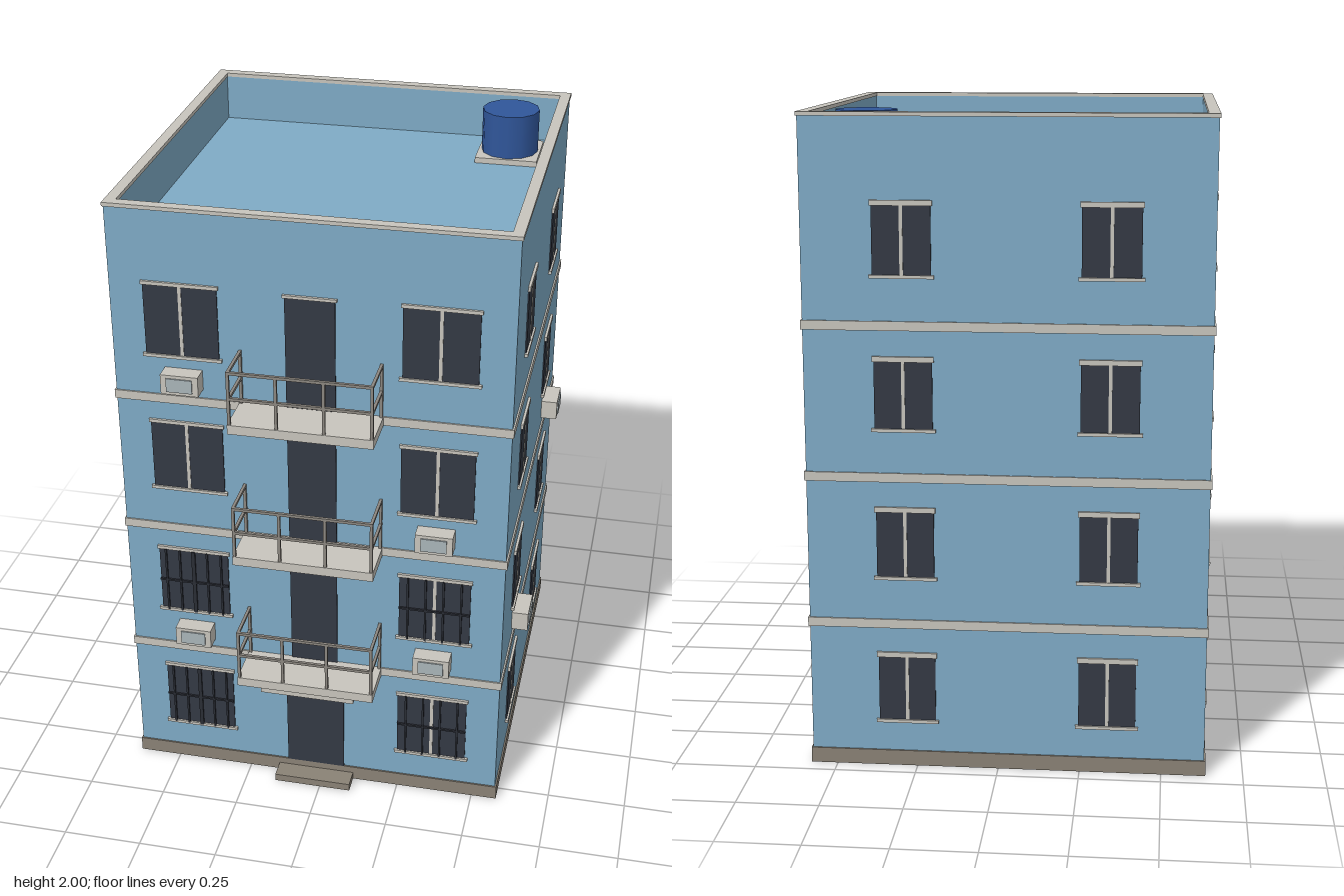
import * as THREE from 'three';

const mat = (name, color) => {
  const m = new THREE.MeshStandardMaterial({ color });
  m.name = name;
  return m;
};

export function createModel() {
  const wall = mat('blue wall', 0x7fabc6);
  const trim = mat('pale trim', 0xc8c5bd);
  const stone = mat('plinth stone', 0x8a8276);
  const glass = mat('dark glass', 0x343944);
  const bars = mat('grille iron', 0x2a2d35);
  const rail = mat('railing metal', 0x8c8780);
  const grilleGrey = mat('unit grille', 0xaab5b9);
  const tankBlue = mat('tank blue', 0x30569a);

  const model = new THREE.Group();
  model.name = 'apartmentBlock';

  // box given by its min and max corners
  const box = (parent, name, m, x0, x1, y0, y1, z0, z1) => {
    const mesh = new THREE.Mesh(new THREE.BoxGeometry(x1 - x0, y1 - y0, z1 - z0), m);
    mesh.position.set((x0 + x1) / 2, (y0 + y1) / 2, (z0 + z1) / 2);
    mesh.name = name;
    parent.add(mesh);
    return mesh;
  };

  const W = 0.604, D = 0.62;           // half width and depth of the walls
  const STOREY = 0.46, ROOF = 1.84;
  const building = new THREE.Group();
  building.name = 'building';
  building.position.set(-0.027, 0, -0.072);
  model.add(building);

  // main block, plinth and floor bands
  box(building, 'walls', wall, -W, W, 0.03, ROOF, -D, D);
  box(building, 'plinth', stone, -W - 0.005, W + 0.005, 0, 0.048, -D - 0.005, D + 0.005);
  for (let f = 1; f < 4; f++) {
    const y = f * STOREY;
    box(building, 'floorBand', trim, -W - 0.005, W + 0.005, y - 0.014, y + 0.014, -D - 0.005, D + 0.005);
  }

  // square ring for the parapet and its coping
  const ring = (name, m, w, d, t, y0, y1) => {
    const rect = (P, a, b) => new P([[-a, -b], [a, -b], [a, b], [-a, b]].map(p => new THREE.Vector2(...p)));
    const s = rect(THREE.Shape, w, d);
    s.holes.push(rect(THREE.Path, w - t, d - t));
    const g = new THREE.ExtrudeGeometry(s, { depth: y1 - y0, bevelEnabled: false });
    g.rotateX(-Math.PI / 2);
    const mesh = new THREE.Mesh(g, m);
    mesh.position.y = y0;
    mesh.name = name;
    building.add(mesh);
  };
  ring('parapet', wall, W, D, 0.028, ROOF, 1.99);
  ring('coping', trim, W + 0.004, D + 0.004, 0.034, 1.988, 2);

  // one group per facade: local x runs along the wall, z points outwards
  const facade = (name, angle, dist) => {
    const g = new THREE.Group();
    g.name = name;
    g.rotation.y = angle;
    g.position.set(Math.sin(angle) * dist, 0, Math.cos(angle) * dist);
    building.add(g);
    return g;
  };
  const front = facade('frontFacade', 0, D);
  const right = facade('plusXFacade', Math.PI / 2, W);
  const back = facade('backFacade', Math.PI, D);
  const left = facade('minusXFacade', -Math.PI / 2, W);

  const addWindow = (parent, u, y, w, h, lintel) => {
    const g = new THREE.Group();
    g.name = 'window';
    g.position.set(u, y, 0);
    parent.add(g);
    box(g, 'glass', glass, -w / 2, w / 2, 0, h, -0.003, 0.004);
    box(g, 'mullion', trim, -0.005, 0.005, 0, h, 0, 0.006);
    box(g, 'sill', trim, -w / 2 - 0.009, w / 2 + 0.009, -0.006, 0.004, 0, 0.01);
    box(g, 'lintel', trim, -w / 2 - 0.005, w / 2 + 0.005, h - 0.002, h + lintel, 0, 0.008);
    return g;
  };

  // iron grille of n uprights and a middle bar
  const addGrille = (g, w, h, n) => {
    for (let i = 0; i < n; i++) {
      const x = -w / 2 + (w * (i + 0.5)) / n;
      box(g, 'grilleUpright', bars, x - 0.003, x + 0.003, 0, h, 0.006, 0.012);
    }
    box(g, 'grilleBar', bars, -w / 2, w / 2, h / 2 - 0.003, h / 2 + 0.003, 0.006, 0.012);
  };

  const addAirUnit = (parent, u, floor) => {
    const g = new THREE.Group();
    g.name = 'airConditioner';
    g.position.set(u, floor * STOREY + 0.075, 0);
    parent.add(g);
    box(g, 'casing', trim, -0.058, 0.058, -0.032, 0.032, 0, 0.053);
    box(g, 'ventPanel', grilleGrey, -0.04, 0.04, -0.022, 0.022, 0.05, 0.057);
  };

  // windows on every storey
  for (let f = 0; f < 4; f++) {
    const y = f * STOREY + 0.147;
    for (const s of [-1, 1]) {
      const win = addWindow(front, s * 0.388, y, 0.225, 0.23, 0.009);
      if (f < 2) {
        addGrille(win, 0.225, 0.23, s < 0 ? 5 : 4);
        if (s < 0) box(win, 'grilleCentre', bars, -0.006, 0.006, 0, 0.23, 0.006, 0.012);
      }
      for (const side of [right, back, left]) addWindow(side, s * 0.306, y, 0.174, 0.208, 0.014);
    }
  }

  // air conditioners
  [[-1, 3], [1, 2], [-1, 1], [1, 1]].forEach(([s, f]) => addAirUnit(front, s * 0.388, f));
  addAirUnit(right, 0.306, 2);
  addAirUnit(right, -0.306, 1);

  // entrance with canopy and step
  const entrance = new THREE.Group();
  entrance.name = 'entrance';
  entrance.position.x = 0.002;
  front.add(entrance);
  box(entrance, 'frontDoor', glass, -0.095, 0.095, 0.048, 0.374, -0.003, 0.006);
  box(entrance, 'doorLintel', trim, -0.103, 0.103, 0.372, 0.386, 0, 0.01);
  box(entrance, 'canopy', trim, -0.151, 0.151, 0.405, 0.421, 0, 0.118);
  box(entrance, 'step', stone, -0.126, 0.126, 0, 0.025, 0, 0.067);

  // balconies with doors and railings
  for (let f = 1; f < 4; f++) {
    const g = new THREE.Group();
    g.name = 'balcony';
    g.position.set(0.002, f * STOREY, 0);
    front.add(g);
    box(g, 'balconyDoor', glass, -0.075, 0.075, 0.014, 0.374, -0.003, 0.005);
    box(g, 'balconyLintel', trim, -0.081, 0.081, 0.372, 0.381, 0, 0.009);
    box(g, 'slab', trim, -0.219, 0.219, -0.016, 0.014, 0, 0.148);
    const r = 0.0045, zr = 0.142, xr = 0.213;
    for (let i = 0; i < 4; i++) {
      const x = -xr + (i * 2 * xr) / 3;
      box(g, 'railPost', rail, x - r, x + r, 0.014, 0.186, zr - r, zr + r);
    }
    for (const y of [0.099, 0.183]) {
      box(g, 'frontRail', rail, -xr - r, xr + r, y - r, y + r, zr - r, zr + r);
      for (const s of [-1, 1]) box(g, 'sideRail', rail, s * xr - r, s * xr + r, y - r, y + r, 0, zr);
    }
    for (const s of [-1, 1]) box(g, 'wallPost', rail, s * xr - r, s * xr + r, 0.014, 0.186, 0.001, 0.01);
  }

  // roof water tank on its base
  const tankGroup = new THREE.Group();
  tankGroup.name = 'waterTank';
  tankGroup.position.set(0.405, ROOF, -0.506);
  model.add(tankGroup);
  box(tankGroup, 'tankBase', trim, -0.101, 0.101, 0, 0.018, -0.101, 0.101);
  const tank = new THREE.Mesh(new THREE.CylinderGeometry(0.093, 0.093, 0.14, 12), tankBlue);
  tank.name = 'tank';
  tank.position.y = 0.088;
  tankGroup.add(tank);

  return model;
}
